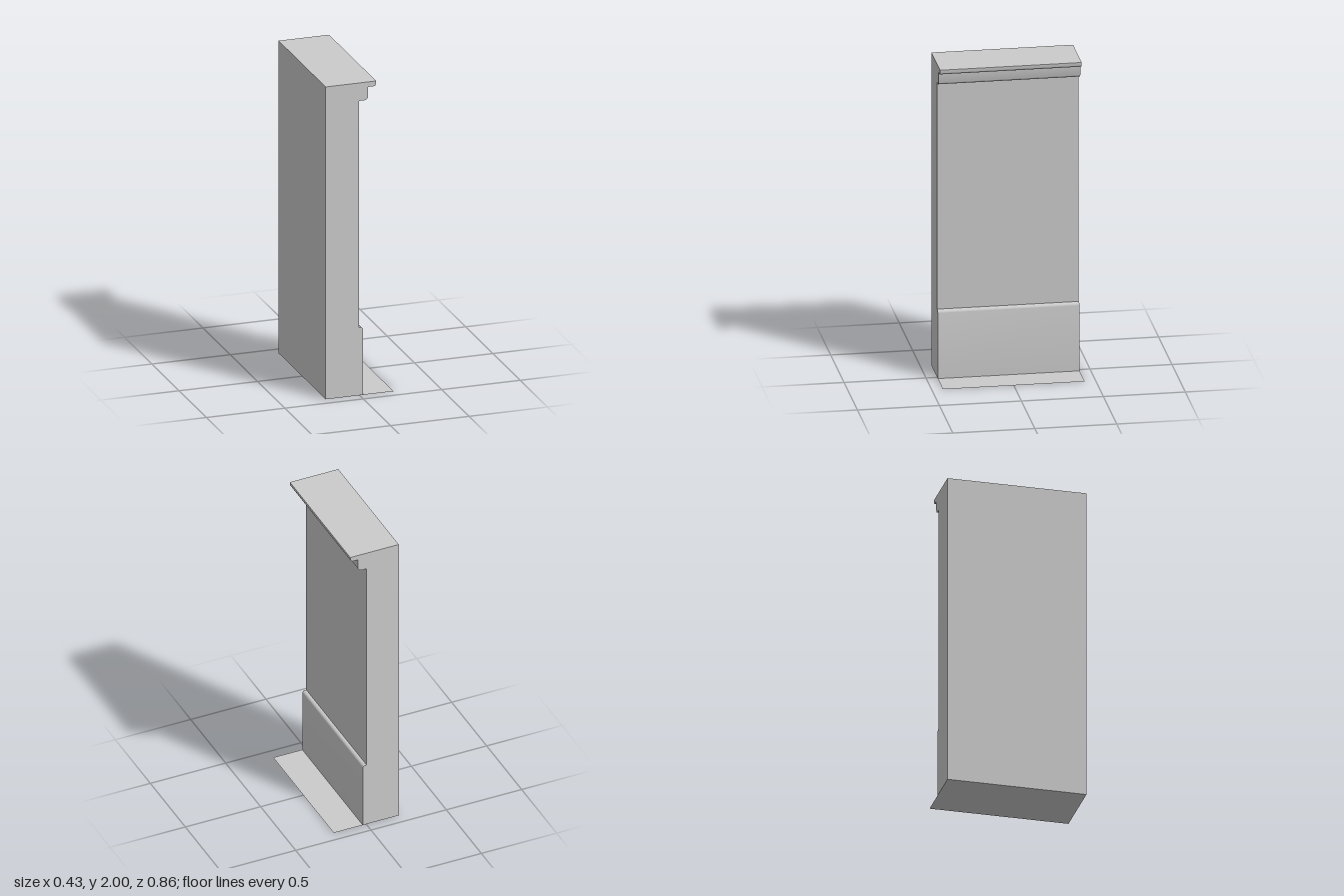
import * as THREE from 'three';
import { toCreasedNormals } from 'three/addons/utils/BufferGeometryUtils.js';

const LENGTH = 0.864; // run of the wall along z
const BACK = -0.216; // rear face of the wall
const FACE = -0.003; // finished face of the wall

export function createModel() {
  const model = new THREE.Group();
  const material = new THREE.MeshStandardMaterial({ color: 0xcccccc });

  // Wall section with rounded baseboard and stepped cornice, swept along z
  const s = new THREE.Shape();
  s.moveTo(BACK, 0);
  s.lineTo(0.023, 0);
  // baseboard with eased top edge
  s.lineTo(0.023, 0.416);
  s.absarc(0.004, 0.416, 0.019, 0, Math.PI / 2, false);
  s.lineTo(FACE, 0.435);
  // plain wall
  s.lineTo(FACE, 1.885);
  // lower cornice step
  s.lineTo(0.03, 1.885);
  s.absarc(0.03, 1.91, 0.025, -Math.PI / 2, 0, false);
  s.lineTo(0.055, 1.968);
  // upper cornice step
  s.lineTo(0.088, 1.968);
  s.absarc(0.088, 1.986, 0.018, -Math.PI / 2, 0, false);
  s.lineTo(0.106, 2);
  s.lineTo(BACK, 2);
  s.closePath();

  const wallGeometry = new THREE.ExtrudeGeometry(s, { depth: LENGTH, bevelEnabled: false, curveSegments: 8 });
  wallGeometry.translate(0, 0, -LENGTH / 2);
  const wall = new THREE.Mesh(toCreasedNormals(wallGeometry, 0.5), material);
  wall.name = 'wallWithMouldings';
  model.add(wall);

  // Thin floor sheet under the wall, reaching out in front of it
  const floorGeometry = new THREE.PlaneGeometry(-2 * BACK, LENGTH).rotateX(-Math.PI / 2);
  const floorMaterial = new THREE.MeshStandardMaterial({ color: 0xcccccc, side: THREE.DoubleSide });
  const floor = new THREE.Mesh(floorGeometry, floorMaterial);
  floor.name = 'floor';
  model.add(floor);

  return model;
}
